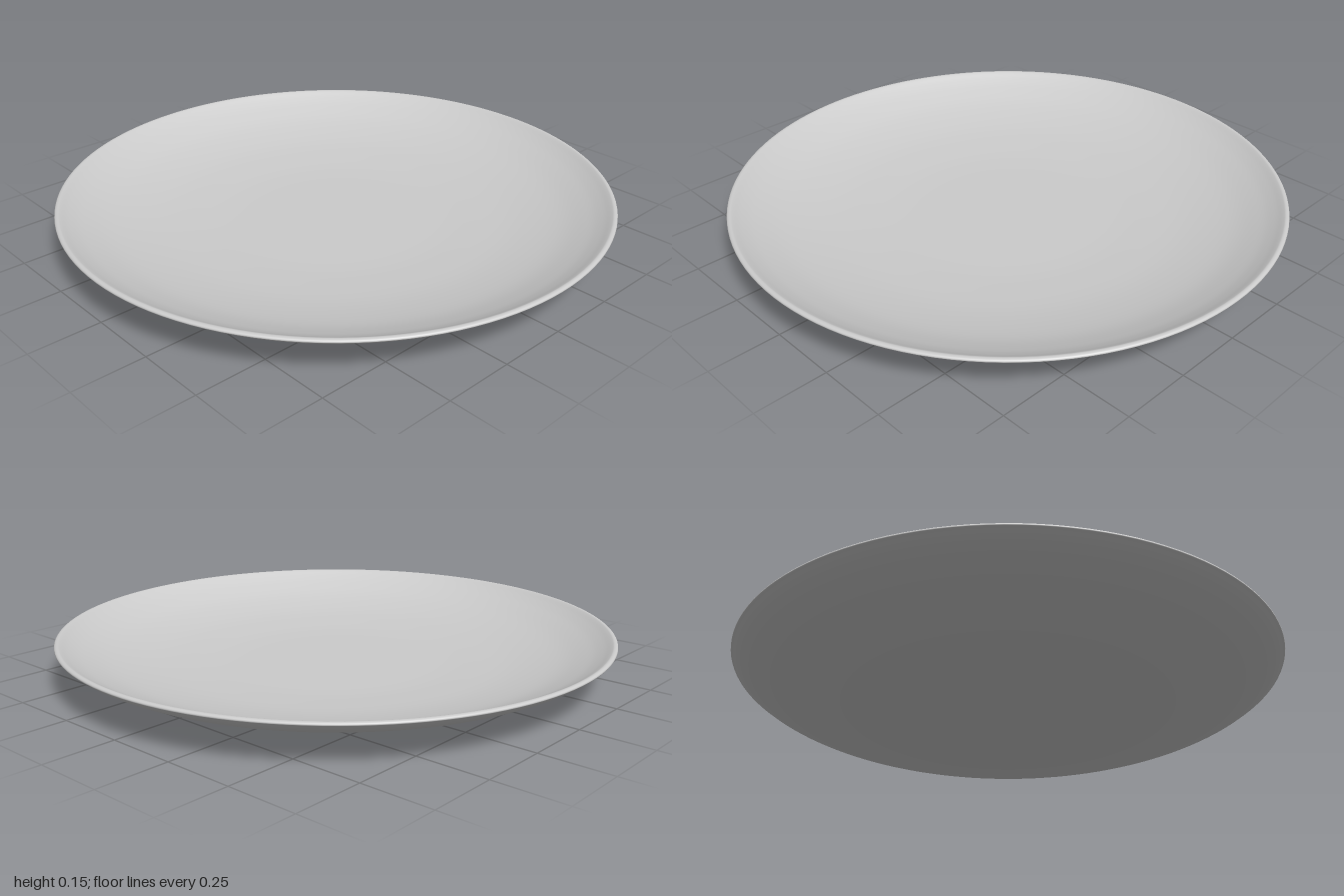
import * as THREE from 'three';

export function createModel() {
  const group = new THREE.Group();
  group.name = 'plate';

  // Closed cross-section: underside, rounded rim, then the dished top
  const underside = [[0, 0], [0.2, 0], [0.38, 0.001], [0.5, 0.008], [0.65, 0.022],
    [0.8, 0.05], [0.9, 0.083], [0.96, 0.112], [0.992, 0.135]];
  const rim = [[1, 0.142], [0.997, 0.148], [0.988, 0.15], [0.978, 0.146]];
  const dish = [[0.95, 0.13], [0.9, 0.107], [0.8, 0.073], [0.65, 0.045],
    [0.5, 0.032], [0.38, 0.026], [0.2, 0.025], [0, 0.025]];
  const points = [...underside, ...rim, ...dish].map(([r, y]) => new THREE.Vector2(r, y));

  // Smooth the section and keep it on the positive side of the axis and the floor
  const profile = new THREE.SplineCurve(points).getPoints(80);
  profile.forEach((p) => p.set(THREE.MathUtils.clamp(p.x, 0, 1), Math.max(p.y, 0)));

  const body = new THREE.Mesh(
    new THREE.LatheGeometry(profile, 128),
    new THREE.MeshStandardMaterial({ color: 0xcccccc })
  );
  body.name = 'plateBody';
  group.add(body);
  return group;
}
